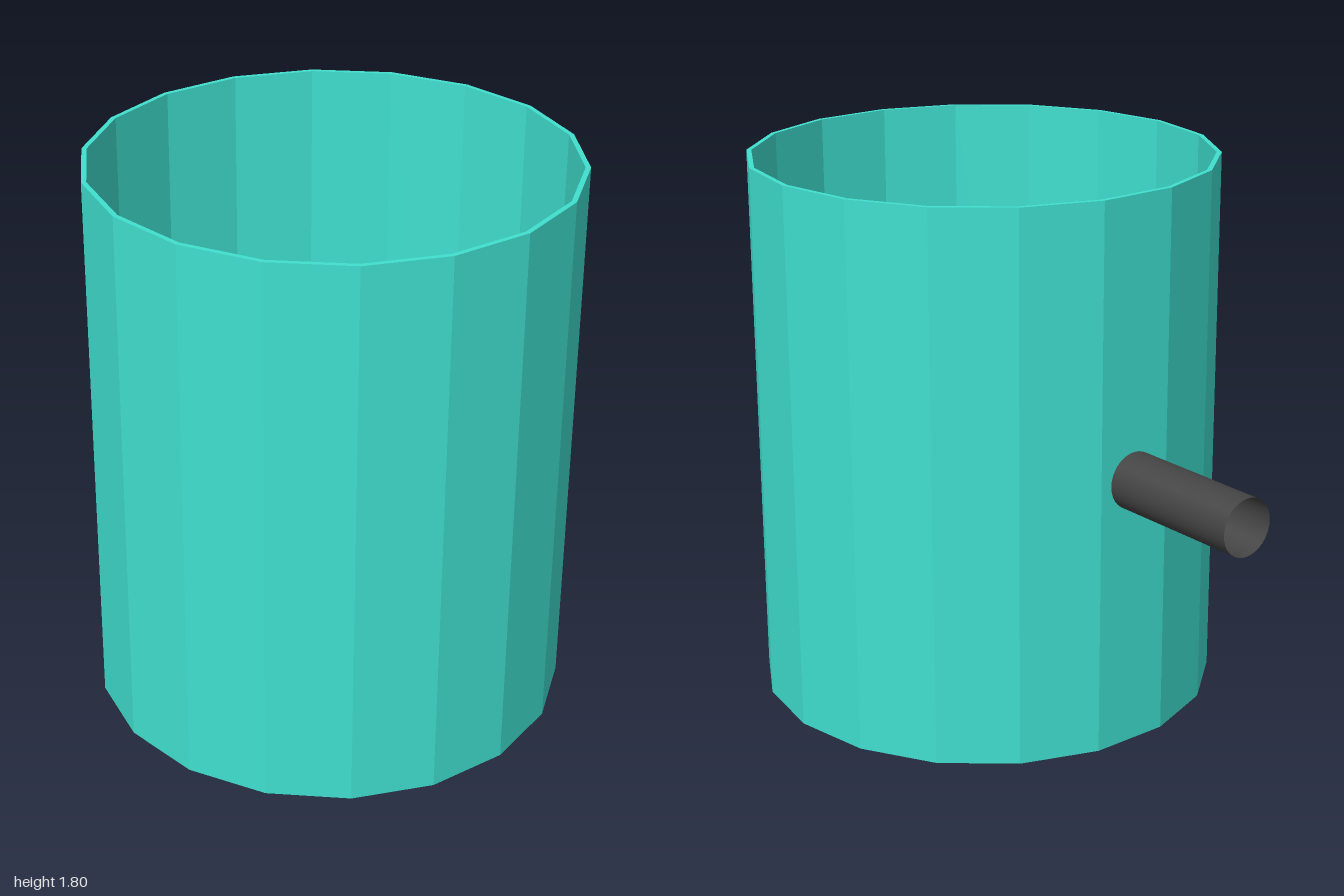
import * as THREE from 'three';

export function createModel() {
  const group = new THREE.Group();
  const teal = new THREE.MeshStandardMaterial({ color: 0x40e0d0, flatShading: true, side: THREE.DoubleSide });
  const dark = new THREE.MeshStandardMaterial({ color: 0x444444, side: THREE.DoubleSide });

  // Thin-walled 18-sided sleeve, open at both ends, flats facing front and back
  const outer = 0.762, inner = 0.746, height = 1.8;
  const profile = [[inner, 0], [outer, 0], [outer, height], [inner, height], [inner, 0]]
    .map(([r, y]) => new THREE.Vector2(r, y));
  const sleeve = new THREE.Mesh(new THREE.LatheGeometry(profile, 18, Math.PI / 2), teal);
  sleeve.name = 'sleeve';
  sleeve.position.z = 0.25;
  group.add(sleeve);

  // Open round tube passing through the back wall
  const zIn = -0.43, zOut = -1;
  const tube = new THREE.Mesh(
    new THREE.CylinderGeometry(0.093, 0.093, zIn - zOut, 32, 1, true).rotateX(Math.PI / 2), dark);
  tube.name = 'backTube';
  tube.position.set(0, 0.895, (zIn + zOut) / 2);
  group.add(tube);

  return group;
}
